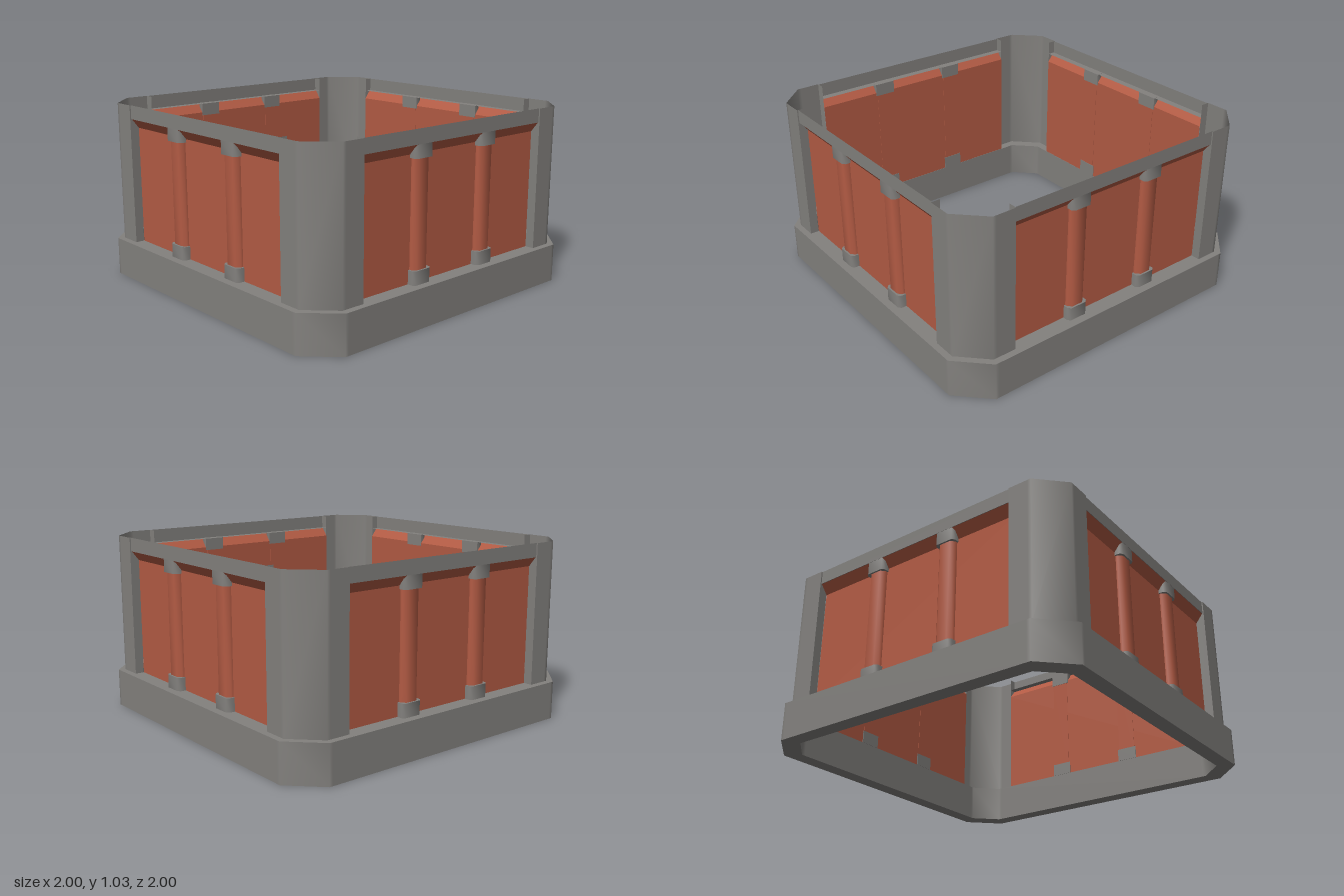
import * as THREE from 'three';
import { toCreasedNormals } from 'three/addons/utils/BufferGeometryUtils.js';

const CREASE = 0.9; // smooths 45 degree bends, keeps right angles sharp

// Chamfered square; a point just before each chamfer keeps the flat sides flat
function octagon(half, chamfer) {
  const a = half - chamfer, b = a - 0.02, pts = [];
  for (let i = 0; i < 4; i++) {
    const t = i * Math.PI / 2;
    for (const [x, y] of [[half, b], [half, a], [a, half], [b, half]]) {
      pts.push(new THREE.Vector2(x, y).rotateAround(new THREE.Vector2(), t));
    }
  }
  return pts;
}

// Open sheet: each profile point is mapped to its two ends
function ribbon(profile, place, from, to) {
  const pos = [], index = [];
  profile.forEach(([u, v], i) => {
    pos.push(...place(u, v, from), ...place(u, v, to));
    const k = i * 2;
    if (i) index.push(k - 2, k - 1, k + 1, k - 2, k + 1, k);
  });
  const g = new THREE.BufferGeometry();
  g.setAttribute('position', new THREE.Float32BufferAttribute(pos, 3));
  g.setIndex(index);
  return toCreasedNormals(g, CREASE);
}

// Upright block with softened front corners, rising from y0 to y1
function pilaster(halfWidth, back, front, bevel, y0, y1) {
  const s = new THREE.Shape([
    [-halfWidth, -back], [halfWidth, -back], [halfWidth, -front + bevel],
    [halfWidth - bevel, -front], [-halfWidth + bevel, -front], [-halfWidth, -front + bevel],
  ].map(p => new THREE.Vector2(...p)));
  const g = new THREE.ExtrudeGeometry(s, { depth: y1 - y0, bevelEnabled: false });
  g.rotateX(-Math.PI / 2).translate(0, y0, 0);
  return toCreasedNormals(g, CREASE);
}

export function createModel() {
  const model = new THREE.Group();
  const stone = new THREE.MeshStandardMaterial({ color: 0x83817e, side: THREE.DoubleSide });
  stone.name = 'grey stone';
  const brick = new THREE.MeshStandardMaterial({ color: 0xb35b44, side: THREE.DoubleSide });
  brick.name = 'red brick';

  const add = (parent, name, geometry, material, x = 0) => {
    const m = new THREE.Mesh(geometry, material);
    m.name = name;
    m.position.x = x;
    parent.add(m);
  };

  // Base ring
  const ring = new THREE.Shape(octagon(1, 0.17));
  ring.holes.push(new THREE.Path(octagon(0.908, 0.13).reverse()));
  const base = new THREE.ExtrudeGeometry(ring, { depth: 0.22, bevelEnabled: false });
  base.rotateX(-Math.PI / 2);
  add(model, 'baseRing', toCreasedNormals(base, CREASE), stone);

  // Shared wall parts
  const across = (y, z, x) => [x, y, z];
  const upright = (x, z, y) => [x, y, z];
  const panel = ribbon([[0.22, 0.91], [0.9, 0.91]], across, -0.68, 0.68);
  const cove = ribbon([[0.9, 0.91], [0.955, 0.953]], across, -0.68, 0.68);
  const rail = ribbon([[0.955, 0.912], [0.955, 0.956], [1.035, 0.956]], across, -0.68, 0.68);
  const post = ribbon([
    [0.68, 0.912], [0.68, 0.963], [0.795, 0.963], [0.815, 0.963],
    [0.963, 0.815], [0.963, 0.795], [0.963, 0.68], [0.912, 0.68],
  ], upright, 0.22, 1.035);
  const shaft = pilaster(0.055, 0.908, 0.945, 0.022, 0.22, 0.9);
  const foot = pilaster(0.064, 0.906, 0.955, 0.015, 0.22, 0.297);
  const cap = pilaster(0.064, 0.906, 0.955, 0.015, 0.882, 0.956);

  // Four identical walls, each with one corner post
  ['front', 'left', 'back', 'right'].forEach((side, i) => {
    const wall = new THREE.Group();
    wall.name = side + 'Wall';
    wall.rotation.y = i * Math.PI / 2;
    add(wall, 'panel', panel, brick);
    add(wall, 'cove', cove, brick);
    add(wall, 'topRail', rail, stone);
    add(wall, 'cornerPost', post, stone);
    for (const x of [-0.25, 0.25]) {
      add(wall, 'pilasterShaft', shaft, brick, x);
      add(wall, 'pilasterFoot', foot, stone, x);
      add(wall, 'pilasterCap', cap, stone, x);
    }
    model.add(wall);
  });
  return model;
}
